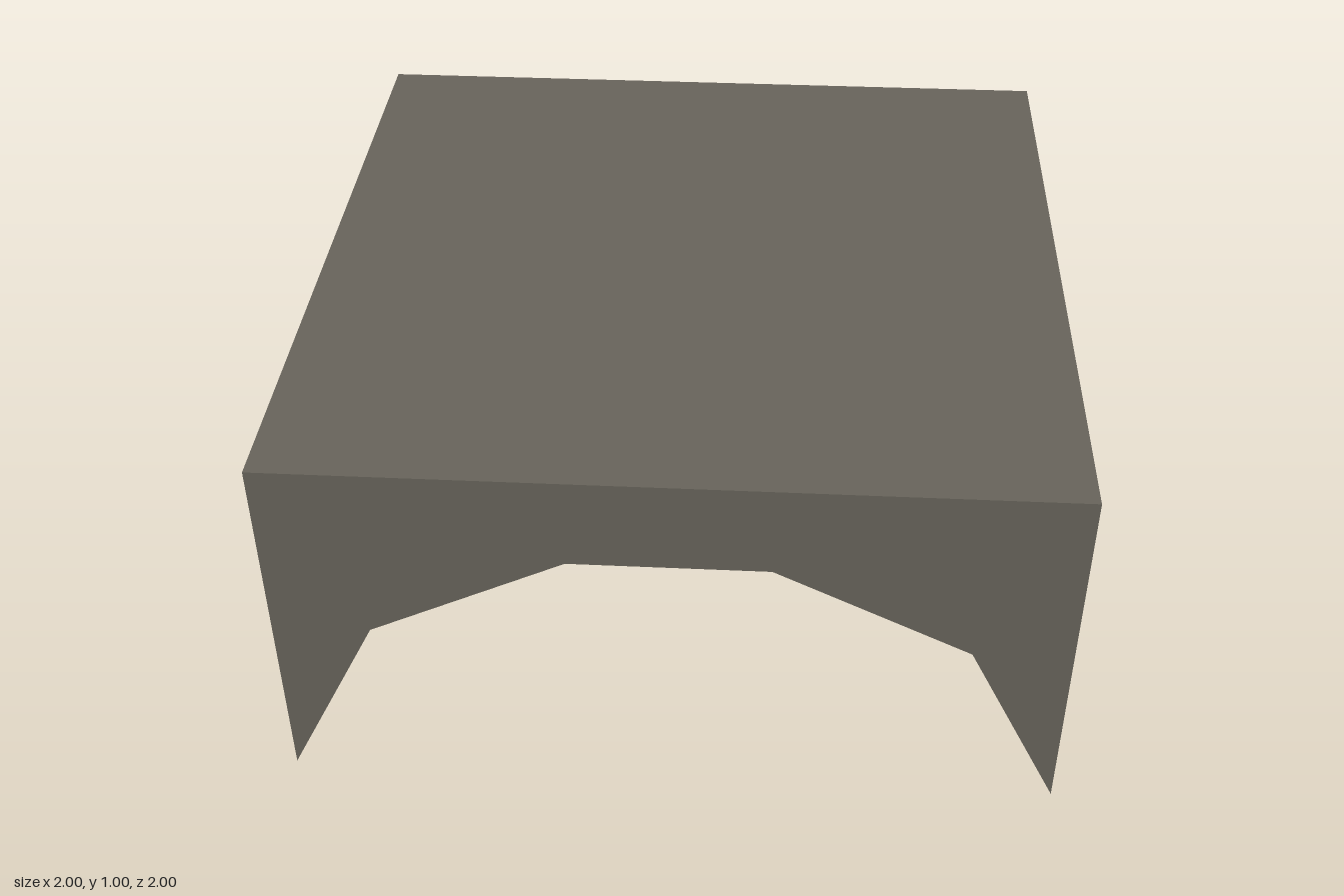
import * as THREE from 'three';

const stone = new THREE.MeshStandardMaterial({ color: 0x69655c });
stone.name = 'grey stone';

// Arch outline shared by both openings
const arch = [[1, 0], [0.75, 0.5], [0.25, 0.75], [-0.25, 0.75], [-0.75, 0.5], [-1, 0]];

// A ring runs from the front opening to the left opening, mirrored over the diagonal
function ring(y, start, bend, middle) {
  const half = [start, bend];
  const mirrored = [bend, start].map(([x, z]) => [-z, -x]);
  return [...half, middle, ...mirrored].map(([x, z]) => new THREE.Vector3(x, y, z));
}

// Joins consecutive rings with flat faces, dropping collapsed triangles
function loft(rings) {
  const points = [];
  const triangle = new THREE.Triangle();
  const add = (a, b, c) => {
    triangle.set(a, b, c);
    if (triangle.getArea() > 1e-6) points.push(a, b, c);
  };
  for (let i = 0; i < rings.length - 1; i++) {
    for (let j = 0; j < rings[i].length - 1; j++) {
      const [p, q] = [rings[i], rings[i + 1]];
      add(p[j], p[j + 1], q[j + 1]);
      add(p[j], q[j + 1], q[j]);
    }
  }
  const geometry = new THREE.BufferGeometry().setFromPoints(points);
  geometry.computeVertexNormals();
  return geometry;
}

export function createModel() {
  const group = new THREE.Group();
  group.name = 'tunnelCorner';
  const add = (name, geometry) => {
    const mesh = new THREE.Mesh(geometry, stone);
    mesh.name = name;
    group.add(mesh);
    return mesh;
  };

  // Vaulted passage turning around the inner corner leg
  const wallFoot = ring(0, [1, 1], [1, -0.25], [0.81, -0.81]);
  const outerFoot = ring(0, [1, 1], [1, -0.25], [1, -1]);
  add('vault', loft([
    ring(0, [-1, 1], [-1, 1], [-1, 1]),
    ring(0.5, [-0.75, 1], [-0.75, 0.75], [-0.75, 0.75]),
    ring(0.75, [-0.25, 1], [-0.25, 0.75], [-0.5, 0.5]),
    ring(0.75, [0.25, 1], [0.25, -0.25], [0.25, -0.25]),
    ring(0.5, [0.75, 1], [0.75, -0.25], [0.625, -0.625]),
    wallFoot,
  ]));

  // Underside of the solid corner
  add('cornerBase', loft([wallFoot, outerFoot]));

  // Closed right and back walls with the flat top
  add('wallsAndTop', loft([
    outerFoot,
    ring(1, [1, 1], [1, -0.25], [1, -1]),
    ring(1, [-1, 1], [-1, 1], [-1, 1]),
  ]));

  // Two faces with arched openings
  const outline = [[-1, 1], [1, 1], ...arch].map(([x, y]) => new THREE.Vector2(x, y));
  const face = new THREE.ShapeGeometry(new THREE.Shape(outline)).translate(0, 0, 1);
  add('frontArch', face);
  add('sideArch', face).rotation.y = -Math.PI / 2;

  return group;
}
